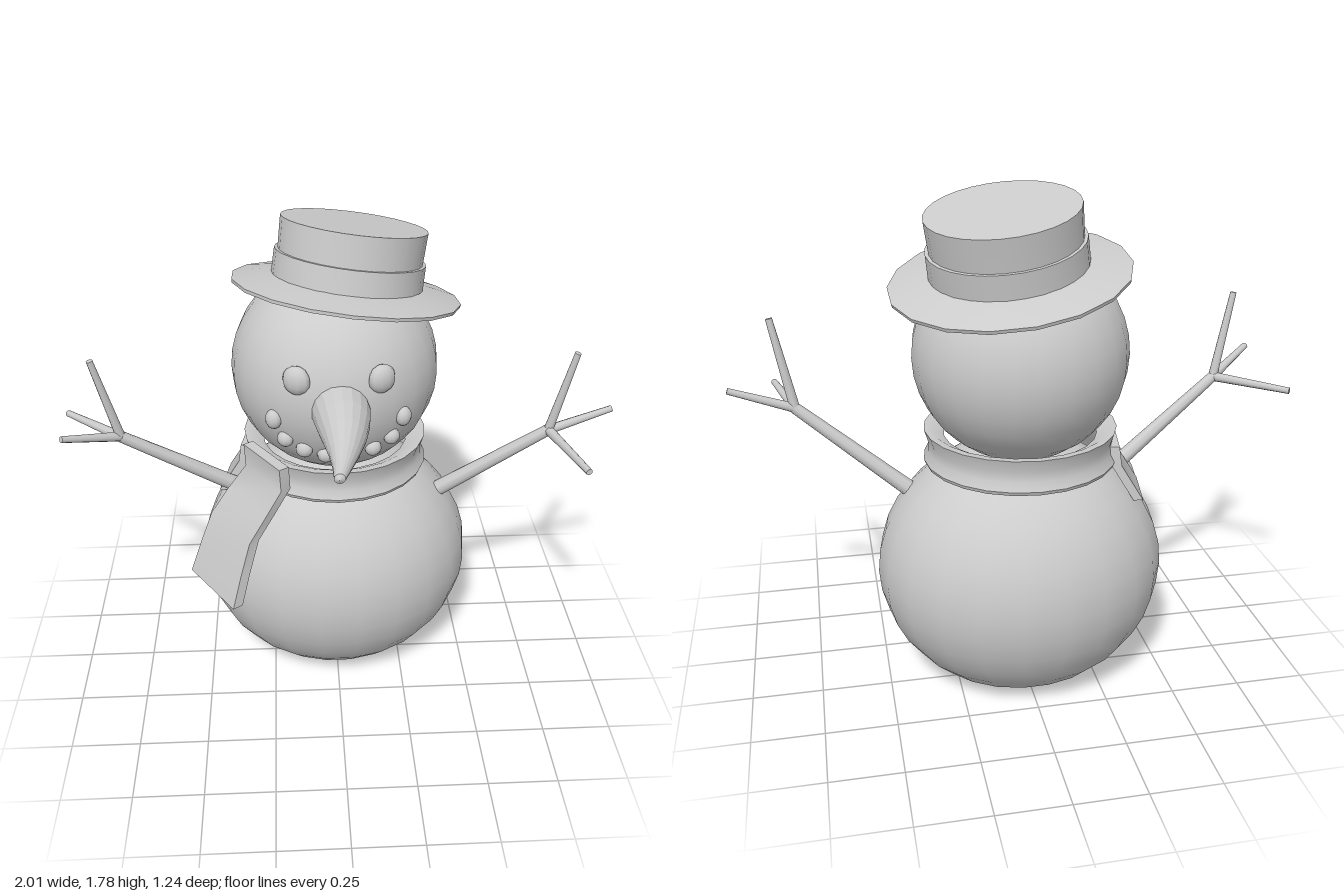
import * as THREE from 'three';
import { toCreasedNormals } from 'three/addons/utils/BufferGeometryUtils.js';

const CENTER_Z = -0.155;
const material = new THREE.MeshStandardMaterial({ color: 0xcccccc });

function addMesh(parent, name, geometry) {
  const mesh = new THREE.Mesh(geometry, material);
  mesh.name = name;
  parent.add(mesh);
  return mesh;
}

// Lathe from [radius, height] pairs, with sharp rims
function turned(points, sides) {
  const profile = points.map(([r, y]) => new THREE.Vector2(r, y));
  return toCreasedNormals(new THREE.LatheGeometry(profile, sides), 0.6);
}

// Tapered stick between two points
function addStick(parent, name, from, to, r0, r1) {
  const a = new THREE.Vector3(...from);
  const dir = new THREE.Vector3(...to).sub(a);
  const length = dir.length();
  const stick = addMesh(parent, name, new THREE.CylinderGeometry(r1, r0, length, 8));
  stick.position.copy(a).addScaledVector(dir, 0.5);
  stick.quaternion.setFromUnitVectors(new THREE.Vector3(0, 1, 0), dir.normalize());
}

// Hanging cloth: rows of [distance from axis, height, sideways shift, half width]
function clothStrip(rows, thickness) {
  const n = rows.length - 1;
  const geometry = new THREE.BoxGeometry(1, 1, 1, 1, n, 1);
  const p = geometry.attributes.position;
  for (let i = 0; i < p.count; i++) {
    const [out, y, shift, half] = rows[Math.round((0.5 - p.getY(i)) * n)];
    p.setXYZ(i, shift + p.getX(i) * 2 * half, y, out + (p.getZ(i) - 0.5) * thickness);
  }
  geometry.computeVertexNormals();
  return geometry;
}

// Pebble pressed into the head surface
function addPebble(parent, name, x, y, rx, ry, rz) {
  const z = CENTER_Z + Math.sqrt(0.375 ** 2 - x * x - (y - 1.22) ** 2);
  const pebble = addMesh(parent, name, new THREE.SphereGeometry(1, 10, 8));
  pebble.scale.set(rx, ry, rz);
  pebble.position.set(x, y, z);
  pebble.rotation.y = Math.atan2(x, z - CENTER_Z);
}

export function createModel() {
  const model = new THREE.Group();
  model.name = 'snowman';

  // Body, flattened where it meets the ground
  const bodyGeometry = new THREE.SphereGeometry(1, 22, 18);
  bodyGeometry.scale(0.52, 0.475, 0.467).translate(0, 0.42, CENTER_Z);
  const bp = bodyGeometry.attributes.position;
  for (let i = 0; i < bp.count; i++) {
    const y = bp.getY(i);
    if (y < 0.03) bp.setY(i, Math.max(0, 0.015 + y * 0.5));
  }
  bodyGeometry.computeVertexNormals();
  addMesh(model, 'body', bodyGeometry);

  // Head
  const head = addMesh(model, 'head', new THREE.SphereGeometry(0.375, 24, 18));
  head.position.set(0, 1.22, CENTER_Z);

  // Face
  const face = new THREE.Group();
  face.name = 'face';
  model.add(face);
  for (const side of [-1, 1]) {
    addPebble(face, 'eye', side * 0.143, 1.32, 0.05, 0.052, 0.03);
    for (const [x, y] of [[0.224, 1.155], [0.185, 1.077], [0.12, 1.04], [0.046, 1.022]]) {
      addPebble(face, 'mouthPebble', side * x, y, 0.031, 0.03 + (x > 0.2 ? 0.006 : 0), 0.027);
    }
  }

  // Carrot nose, bent slightly towards its tip
  const noseGeometry = turned([
    [0.1, 0], [0.099, 0.06], [0.09, 0.13], [0.072, 0.22],
    [0.05, 0.31], [0.031, 0.39], [0.018, 0.455], [0, 0.465],
  ], 18);
  noseGeometry.rotateX(Math.PI / 2);
  const np = noseGeometry.attributes.position;
  for (let i = 0; i < np.count; i++) {
    const t = np.getZ(i) / 0.465;
    np.setX(i, np.getX(i) + 0.05 * t * (1 - t) - 0.022 * t * t);
    np.setY(i, np.getY(i) - 0.01 * t);
  }
  noseGeometry.computeVertexNormals();
  addMesh(face, 'nose', noseGeometry).position.set(0, 1.212, 0.155);

  // Scarf: neck band and two hanging ends
  const scarf = new THREE.Group();
  scarf.name = 'scarf';
  scarf.position.z = CENTER_Z;
  model.add(scarf);
  addMesh(scarf, 'scarfBand', turned([
    [0.25, 0.85], [0.338, 0.832], [0.343, 0.845], [0.328, 0.875],
    [0.326, 0.91], [0.34, 0.955], [0.315, 0.955], [0.27, 0.93],
  ], 24));
  const frontEnd = addMesh(scarf, 'scarfFrontEnd', clothStrip([
    [0.365, 0.975, 0.05, 0.115], [0.36, 0.885, 0.05, 0.115], [0.42, 0.79, 0.025, 0.125],
    [0.48, 0.69, 0, 0.13], [0.53, 0.57, 0, 0.14], [0.575, 0.45, 0, 0.15],
  ], 0.04));
  frontEnd.rotation.y = Math.atan2(-0.828, 0.561);
  const backEnd = addMesh(scarf, 'scarfBackEnd', clothStrip([
    [0.345, 0.9, 0, 0.09], [0.355, 0.83, 0, 0.095], [0.435, 0.7, 0, 0.1],
  ], 0.035));
  backEnd.rotation.y = Math.atan2(-0.98, -0.18);

  // Branch arms, each with three twigs
  const arms = [
    ['leftArm', [0.39, 0.705, -0.09], [0.775, 1.01, 0.005],
      [[0.84, 1.33, 0.035], [1.0, 1.09, 0], [0.85, 1.01, 0.305]]],
    ['rightArm', [-0.37, 0.74, -0.1], [-0.775, 1.025, 0.005],
      [[-0.845, 1.34, 0.035], [-0.955, 1.095, 0.14], [-0.995, 1.02, -0.19]]],
  ];
  for (const [name, base, fork, tips] of arms) {
    const arm = new THREE.Group();
    arm.name = name;
    model.add(arm);
    addStick(arm, 'branch', base, fork, 0.03, 0.021);
    for (const tip of tips) addStick(arm, 'twig', fork, tip, 0.018, 0.012);
  }

  // Tilted top hat
  const hat = new THREE.Group();
  hat.name = 'hat';
  hat.position.set(0.043, 1.5, -0.188);
  hat.quaternion.setFromUnitVectors(
    new THREE.Vector3(0, 1, 0), new THREE.Vector3(0.136, 1, -0.16).normalize());
  model.add(hat);
  addMesh(hat, 'brim', turned([
    [0.2, 0.015], [0.3, 0.005], [0.408, -0.012], [0.41, 0], [0.3, 0.025], [0.24, 0.035],
  ], 18));
  addMesh(hat, 'crown', turned([[0.255, 0.02], [0.256, 0.115], [0.259, 0.228], [0, 0.228]], 28));
  addMesh(hat, 'hatBand', turned([
    [0.25, 0.02], [0.27, 0.02], [0.268, 0.115], [0.25, 0.115],
  ], 28));

  return model;
}
